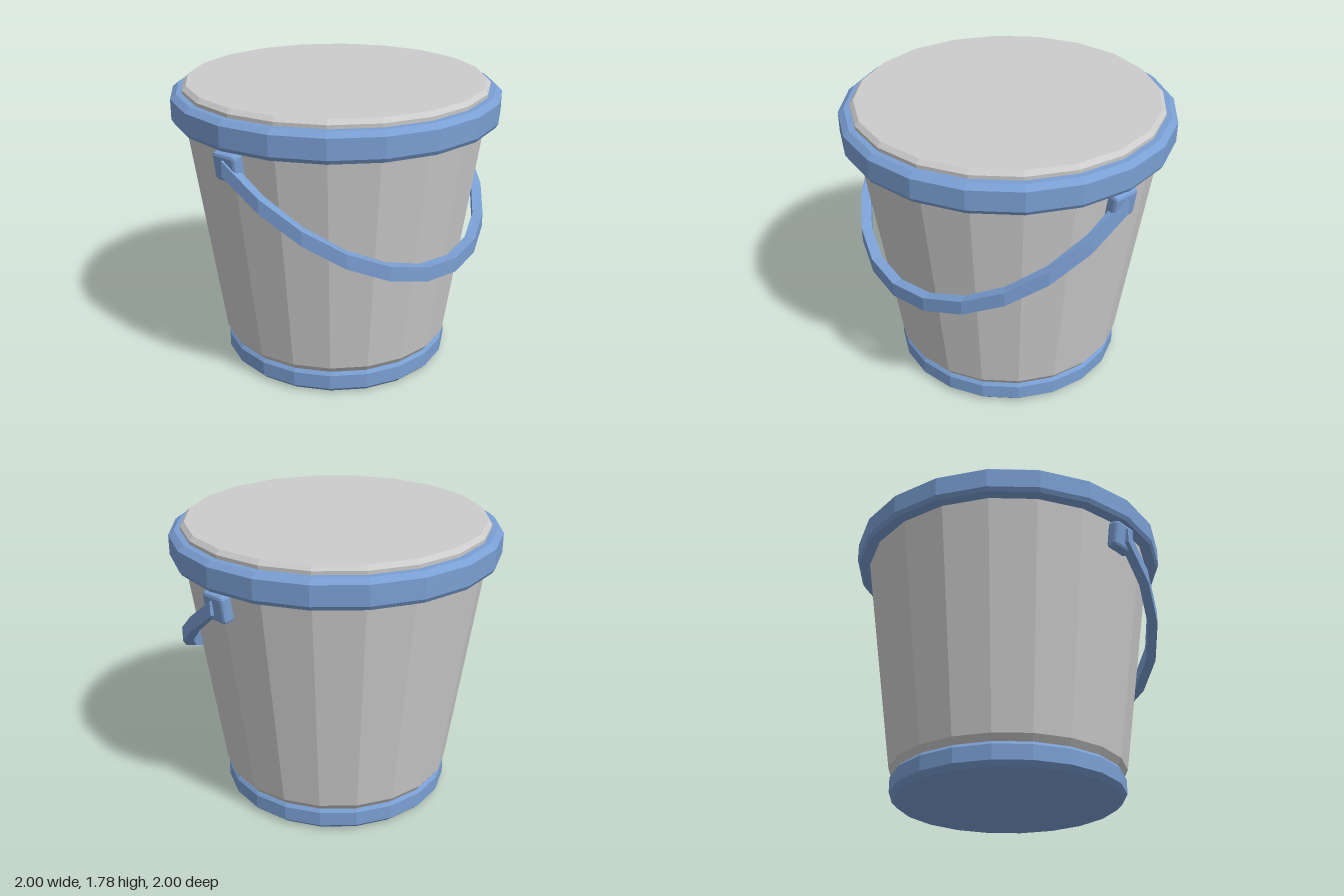
import * as THREE from 'three';
import { RoundedBoxGeometry } from 'three/addons/geometries/RoundedBoxGeometry.js';

const SIDES = 20;
const grey = new THREE.MeshStandardMaterial({ color: 0xcccccc, flatShading: true });
const blue = new THREE.MeshStandardMaterial({ color: 0x7a9fd3, flatShading: true });

function addMesh(parent, name, geometry, material) {
  const mesh = new THREE.Mesh(geometry, material);
  mesh.name = name;
  parent.add(mesh);
  return mesh;
}

// Faceted solid of revolution from [radius, height] pairs, bottom to top
function turned(profile) {
  return new THREE.LatheGeometry(profile.map(([r, y]) => new THREE.Vector2(r, y)), SIDES);
}

// Half-hoop strap with a rectangular section, sloping down towards the front
function handleGeometry() {
  const steps = 12, height = 0.09, drop = 0.67, pivotY = 1.42;
  const outer = [0.99, 0.905], inner = [0.93, 0.84];
  const positions = [], index = [];
  for (let i = 0; i <= steps; i++) {
    const t = (i / steps) * Math.PI;
    const c = Math.cos(t), s = Math.sin(t), y = pivotY - drop * s;
    for (const [[rx, rz], h] of [[outer, height], [outer, 0], [inner, 0], [inner, height]]) {
      positions.push(rx * c, y + h, rz * s);
    }
  }
  for (let i = 0; i < steps; i++) {
    for (let k = 0; k < 4; k++) {
      const a = i * 4 + k, b = i * 4 + (k + 1) % 4;
      index.push(a, a + 4, b, b, a + 4, b + 4);
    }
  }
  const e = steps * 4;
  index.push(0, 1, 2, 0, 2, 3, e, e + 2, e + 1, e, e + 3, e + 2);
  const geometry = new THREE.BufferGeometry();
  geometry.setAttribute('position', new THREE.Float32BufferAttribute(positions, 3));
  geometry.setIndex(index);
  const flat = geometry.toNonIndexed();
  flat.computeVertexNormals();
  return flat;
}

export function createModel() {
  const bucket = new THREE.Group();
  bucket.name = 'bucket';

  // Tapered body, closed by a flat bevelled top
  addMesh(bucket, 'body', turned([
    [0, 0.1], [0.69, 0.13], [0.725, 0.18], [0.92, 1.57], [0.93, 1.76], [0.905, 1.785], [0, 1.785],
  ]), grey);

  // Base band with closed underside
  addMesh(bucket, 'baseBand', turned([
    [0, 0], [0.685, 0], [0.715, 0.03], [0.715, 0.12], [0.7, 0.14], [0.66, 0.14],
  ]), blue);

  // Bevelled band around the rim
  addMesh(bucket, 'rimBand', turned([
    [0.9, 1.565], [0.985, 1.565], [1, 1.59], [1, 1.71], [0.965, 1.738], [0.91, 1.738],
  ]), blue);

  // Handle mounts, leaning with the wall
  for (const side of [1, -1]) {
    const mount = addMesh(bucket, side > 0 ? 'leftHandleMount' : 'rightHandleMount',
      new RoundedBoxGeometry(0.075, 0.17, 0.17, 1, 0.02), blue);
    mount.position.set(side * 0.932, 1.465, 0);
    mount.rotation.z = -side * 0.14;
  }

  addMesh(bucket, 'handle', handleGeometry(), blue);
  return bucket;
}
